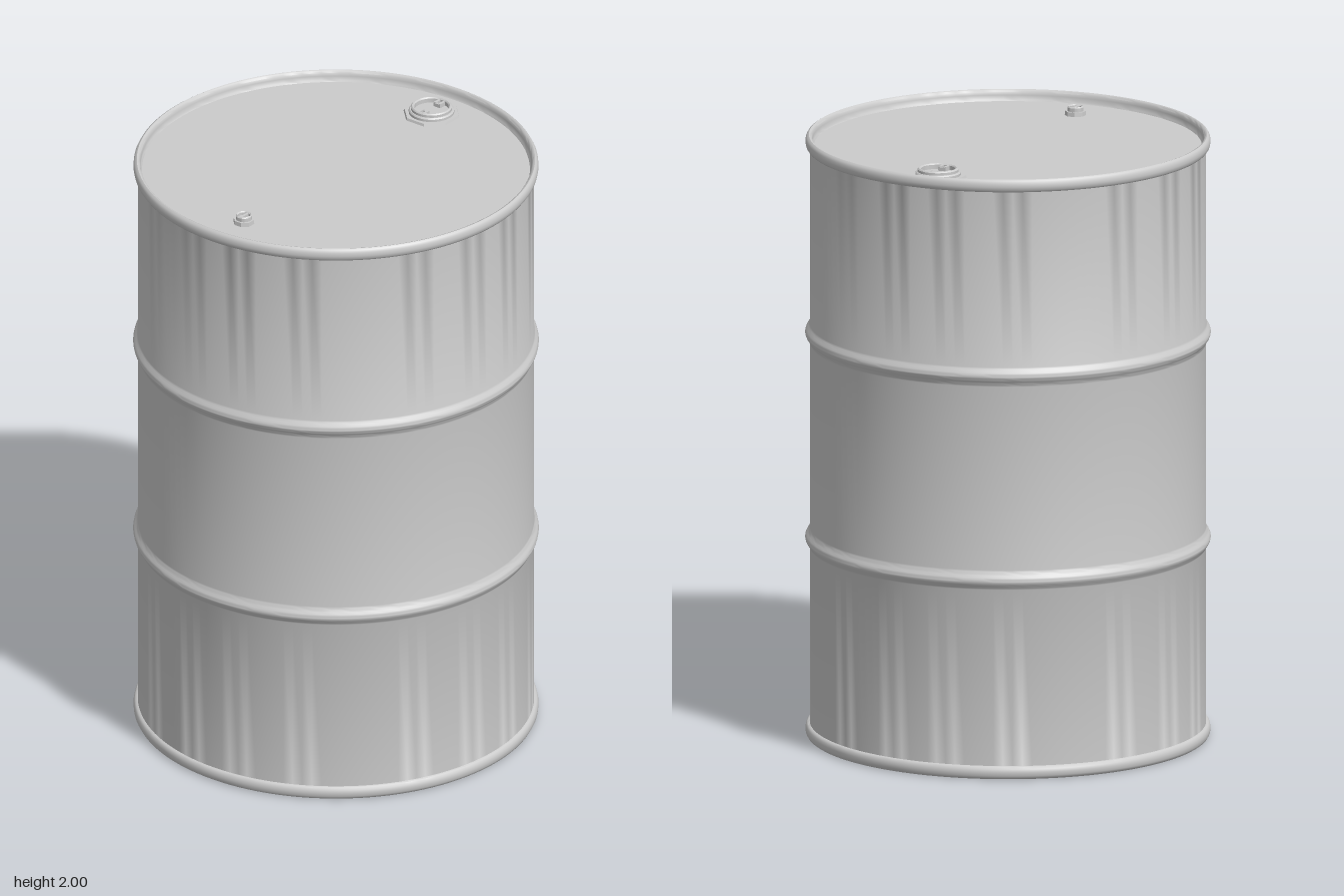
import * as THREE from 'three';
import { toCreasedNormals } from 'three/addons/utils/BufferGeometryUtils.js';

const material = new THREE.MeshStandardMaterial({ color: 0xcccccc });
const LID = 1.963, BASE = 0.037;

function part(name, geometry, parent, x = 0, y = 0, z = 0) {
  const mesh = new THREE.Mesh(geometry, material);
  mesh.name = name;
  mesh.position.set(x, y, z);
  parent.add(mesh);
  return mesh;
}

// Revolve [radius, height] pairs, keeping hard corners sharp
function turned(points, sides = 96, crease = 0.7) {
  const lathe = new THREE.LatheGeometry(points.map(([r, y]) => new THREE.Vector2(r, y)), sides);
  return toCreasedNormals(lathe, crease);
}

// Rolled edge joining the wall to a recessed panel, running from wall to panel
const chime = [
  [0.644, 1.957], [0.651, 1.959], [0.656, 1.966], [0.658, 1.976], [0.657, 1.988],
  [0.653, 1.996], [0.647, 2], [0.641, 1.998], [0.637, 1.992], [0.635, 1.982],
  [0.634, 1.968], [0.63, LID],
];

// Swollen rolling hoop around the wall
function hoop(y) {
  const points = [];
  for (let i = 0; i <= 12; i++) {
    const t = i / 6 - 1;
    points.push([0.644 + 0.0075 * (1 + Math.cos(Math.PI * t)), y + 0.036 * t]);
  }
  return points;
}

// Octagonal flange with flats facing the axes
function flange(radius, height) {
  const geometry = new THREE.CylinderGeometry(radius * 0.97, radius, height, 8).rotateY(Math.PI / 8);
  return toCreasedNormals(geometry, 0.4);
}

// Cup-shaped screw plug
function plug(outer, inner, height, floor) {
  const b = height * 0.12;
  return turned([
    [outer, 0], [outer, height - b], [outer - b, height], [inner + b, height],
    [inner, height - b], [inner, floor], [0, floor],
  ], 40, 0.5);
}

export function createModel() {
  const drum = new THREE.Group();
  drum.name = 'drum';

  // Shell: base panel, lower chime, wall with two hoops, upper chime, lid
  const lower = chime.map(([r, y]) => [r, 2 - y]).reverse();
  part('shell', turned([[0, BASE], ...lower, ...hoop(0.66), ...hoop(1.343), ...chime, [0, LID]], 128), drum);

  // Large bung with a pair of wrench lugs
  const large = new THREE.Group();
  large.name = 'largeBung';
  large.position.set(0.505, LID, 0);
  drum.add(large);
  part('largeFlange', flange(0.094, 0.008), large, 0, 0.004);
  part('largeCollar', turned([[0.074, 0.007], [0.074, 0.016], [0.07, 0.02], [0.062, 0.02]], 40), large);
  part('largePlug', plug(0.067, 0.056, 0.032, 0.014), large);
  for (const side of [-1, 1]) {
    part('wrenchLug', new THREE.BoxGeometry(0.024, 0.014, 0.009), large, side * 0.042, 0.021, 0.01);
    part('wrenchLug', new THREE.BoxGeometry(0.024, 0.014, 0.009), large, side * 0.042, 0.021, -0.01);
    part('lugBridge', new THREE.BoxGeometry(0.008, 0.012, 0.026), large, side * 0.032, 0.02);
  }

  // Small vent bung with a single bar
  const small = new THREE.Group();
  small.name = 'smallBung';
  small.position.set(-0.487, LID, 0);
  drum.add(small);
  part('smallFlange', flange(0.035, 0.014), small, 0, 0.007);
  part('smallPlug', plug(0.026, 0.02, 0.03, 0.018), small);
  part('ventBar', new THREE.BoxGeometry(0.04, 0.009, 0.009), small, 0, 0.022);

  return drum;
}
